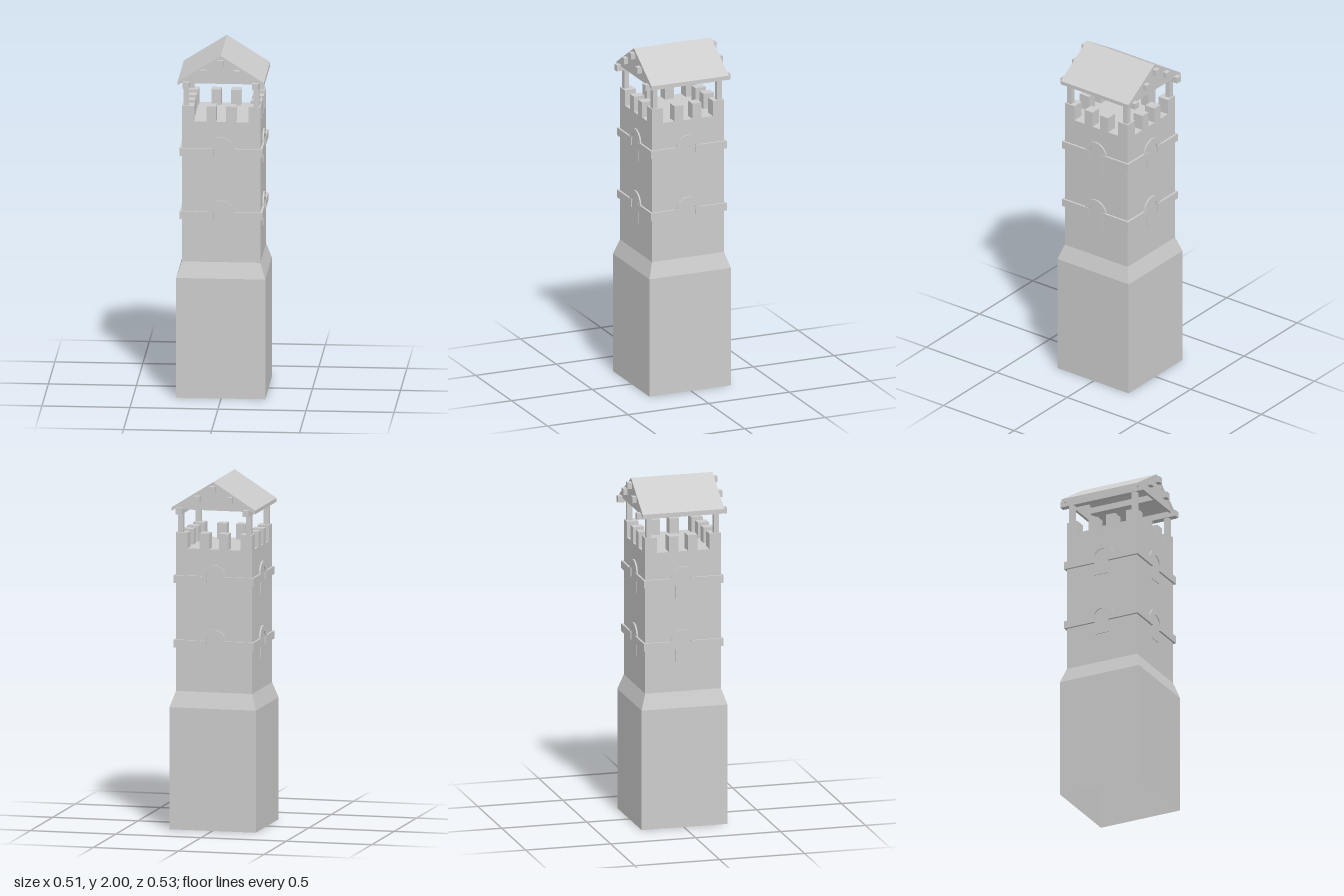
import * as THREE from 'three';

export function createModel() {
  const model = new THREE.Group();
  const mat = new THREE.MeshStandardMaterial({ color: 0xcccccc, flatShading: true, side: THREE.DoubleSide });

  const add = (parent, name, geometry, x = 0, y = 0, z = 0) => {
    const mesh = new THREE.Mesh(geometry, mat);
    mesh.name = name;
    mesh.position.set(x, y, z);
    parent.add(mesh);
    return mesh;
  };
  const box = (parent, name, x0, x1, y0, y1, z0, z1) =>
    add(parent, name, new THREE.BoxGeometry(x1 - x0, y1 - y0, z1 - z0),
      (x0 + x1) / 2, (y0 + y1) / 2, (z0 + z1) / 2);
  const extrude = (points, depth) => new THREE.ExtrudeGeometry(
    new THREE.Shape(points.map(([x, y]) => new THREE.Vector2(x, y))), { depth, bevelEnabled: false });

  const tower = new THREE.Group();
  tower.name = 'tower';
  tower.position.set(-0.002, 0, 0.004);
  model.add(tower);

  // Square shaft: wide open-bottomed base, sloped shoulder, narrower top with a deck
  const H = 0.223;
  const profile = [[0.253, 0], [0.253, 0.7], [H, 0.79], [H, 1.61], [0, 1.61]]
    .map(([half, y]) => new THREE.Vector2(half * Math.SQRT2, y));
  add(tower, 'shaft', new THREE.LatheGeometry(profile, 4, Math.PI / 4));

  // Battlements: square corner merlons, two smaller ones between them on each side
  for (const sx of [-1, 1]) {
    for (const sz of [-1, 1]) {
      const mid = (s) => s * (H - 0.034);
      add(tower, 'cornerMerlon', new THREE.BoxGeometry(0.068, 0.1, 0.068), mid(sx), 1.65, mid(sz));
      add(tower, 'roofPost', new THREE.BoxGeometry(0.03, 0.14, 0.03), sx * 0.199, 1.76, sz * 0.199);
    }
  }

  // Arched window panel and its half-ring hood
  const panelShape = new THREE.Shape();
  panelShape.moveTo(-0.044, -0.11);
  panelShape.lineTo(0.044, -0.11);
  panelShape.lineTo(0.044, 0);
  panelShape.absarc(0, 0, 0.044, 0, Math.PI, false);
  panelShape.closePath();
  const panelGeo = new THREE.ExtrudeGeometry(panelShape, { depth: 0.004, bevelEnabled: false, curveSegments: 12 });
  const hoodShape = new THREE.Shape();
  hoodShape.absarc(0, 0, 0.075, 0, Math.PI, false);
  hoodShape.absarc(0, 0, 0.044, Math.PI, 0, true);
  hoodShape.closePath();
  const hoodGeo = new THREE.ExtrudeGeometry(hoodShape, { depth: 0.009, bevelEnabled: false, curveSegments: 12 });

  // Each of the four sides carries merlons, windows and string courses
  for (let i = 0; i < 4; i++) {
    const side = new THREE.Group();
    side.name = 'wallSide';
    side.rotation.y = i * Math.PI / 2;
    tower.add(side);
    for (const s of [-1, 1]) {
      box(side, 'merlon', s * 0.056 - 0.028, s * 0.056 + 0.028, 1.6, 1.7, H - 0.065, H);
    }
    for (const y of [1.445, 1.075]) {
      add(side, 'windowPanel', panelGeo, 0, y, H);
      add(side, 'windowHood', hoodGeo, 0, y, H);
      box(side, 'stringCourse', -H - 0.012, -0.044, y - 0.035, y + 0.01, H - 0.002, H + 0.012);
      box(side, 'stringCourse', 0.044, H + 0.012, y - 0.035, y + 0.01, H - 0.002, H + 0.012);
    }
  }

  // Pitched roof over the deck
  const roof = new THREE.Group();
  roof.name = 'roof';
  roof.position.x = -0.003;
  model.add(roof);
  add(roof, 'roofSlabs', extrude([[-0.245, 1.845], [-0.245, 1.824], [0, 1.976],
    [0.245, 1.824], [0.245, 1.845], [0, 2]], 0.48), 0, 0, -0.24);
  for (const z of [-0.239, 0.224]) {
    add(roof, 'gable', extrude([[-0.225, 1.836], [0.225, 1.836], [0, 1.978]], 0.015), 0, 0, z);
  }

  // Timbers running front to back, poking out past the gables
  for (const [x, y] of [[-0.197, 1.828], [-0.098, 1.9], [0, 1.958], [0.09, 1.9], [0.197, 1.828]]) {
    add(roof, 'roofBeam', new THREE.BoxGeometry(0.035, 0.036, 0.53), x, y, 0);
  }
  return model;
}
